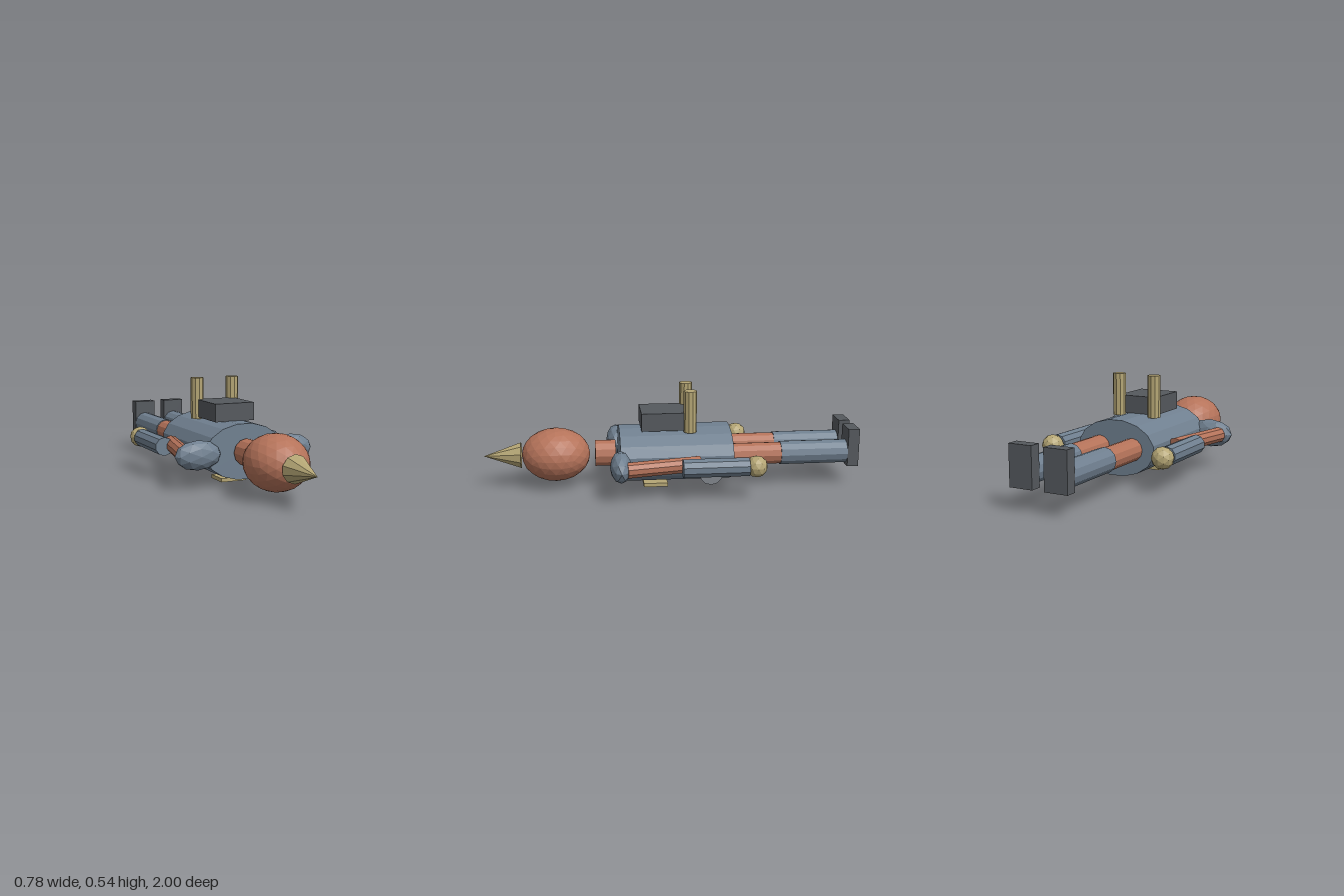
import * as THREE from 'three';

const paint = (color) => new THREE.MeshStandardMaterial({ color, flatShading: true });
const steel = paint(0x708090);
const dark = paint(0x55595e);
const copper = paint(0xb5735a);
const brass = paint(0xb5a675);
const grey = paint(0x80868c);

const AXIS_Y = 0.18; // height of the body's long axis

export function createModel() {
  const model = new THREE.Group();
  model.name = 'lyingRobot';

  const add = (parent, name, geometry, material, x, y, z) => {
    const mesh = new THREE.Mesh(geometry, material);
    mesh.name = name;
    mesh.position.set(x, y, z);
    parent.add(mesh);
    return mesh;
  };

  // Cylinder lying along z between two depths
  const rod = (parent, name, material, r, x, zBack, zFront, sides = 12) =>
    add(parent, name, new THREE.CylinderGeometry(r, r, zFront - zBack, sides).rotateX(Math.PI / 2),
      material, x, AXIS_Y, (zBack + zFront) / 2);

  // Faceted ball stretched to three radii
  const ball = (parent, name, material, detail, [rx, ry, rz], x, z) =>
    add(parent, name, new THREE.IcosahedronGeometry(1, detail).scale(rx, ry, rz), material, x, AXIS_Y, z);

  // Torso: oval barrel with a flat facet underneath
  const torso = new THREE.CylinderGeometry(1, 1, 0.594, 16).rotateY(Math.PI / 16).rotateX(Math.PI / 2);
  add(model, 'torso', torso.scale(0.221, 0.147, 1), steel, 0, AXIS_Y, -0.016);

  // Neck, head and pointed nose
  rod(model, 'neck', copper, 0.071, 0, 0.3, 0.409);
  ball(model, 'head', copper, 3, [0.158, 0.142, 0.182], 0, 0.618);
  add(model, 'nose', new THREE.ConeGeometry(0.071, 0.197, 10).rotateX(Math.PI / 2), brass, 0, AXIS_Y, 0.9015);

  // Pack on top, plate below, knob on the left side
  add(model, 'pack', new THREE.BoxGeometry(0.222, 0.095, 0.254), dark, 0, 0.37, 0.038);
  add(model, 'bellyPlate', new THREE.BoxGeometry(0.143, 0.02, 0.13), brass, 0, 0.01, 0.087);
  add(model, 'sideKnob', new THREE.CylinderGeometry(0.062, 0.062, 0.07, 12).rotateZ(Math.PI / 2),
    grey, 0.213, 0.125, -0.187);

  for (const [side, s] of [['left', 1], ['right', -1]]) {
    const half = new THREE.Group();
    half.name = side + 'Side';
    model.add(half);

    // Exhaust pipe behind the pack
    add(half, 'pipe', new THREE.CylinderGeometry(0.035, 0.035, 0.222, 10), brass, s * 0.104, 0.424, -0.092);

    // Arm: shoulder, slanted upper arm, forearm, hand
    ball(half, 'shoulder', steel, 1, [0.126, 0.077, 0.056], s * 0.263, 0.284);
    const upperArm = rod(half, 'upperArm', copper, 0.042, s * 0.283, -0.13, 0.26, 10);
    upperArm.rotation.y = s * Math.atan2(0.075, 0.376);
    rod(half, 'forearm', steel, 0.05, s * 0.32, -0.371, -0.03, 10);
    ball(half, 'hand', brass, 1, [0.057, 0.057, 0.057], s * 0.32, -0.411);

    // Leg: thigh, shin, upright foot
    rod(half, 'thigh', copper, 0.059, s * 0.095, -0.58, -0.3);
    rod(half, 'shin', steel, 0.064, s * 0.095, -0.94, -0.58);
    add(half, 'foot', new THREE.BoxGeometry(0.125, 0.205, 0.06), dark, s * 0.095, 0.2125, -0.97);
  }
  return model;
}
